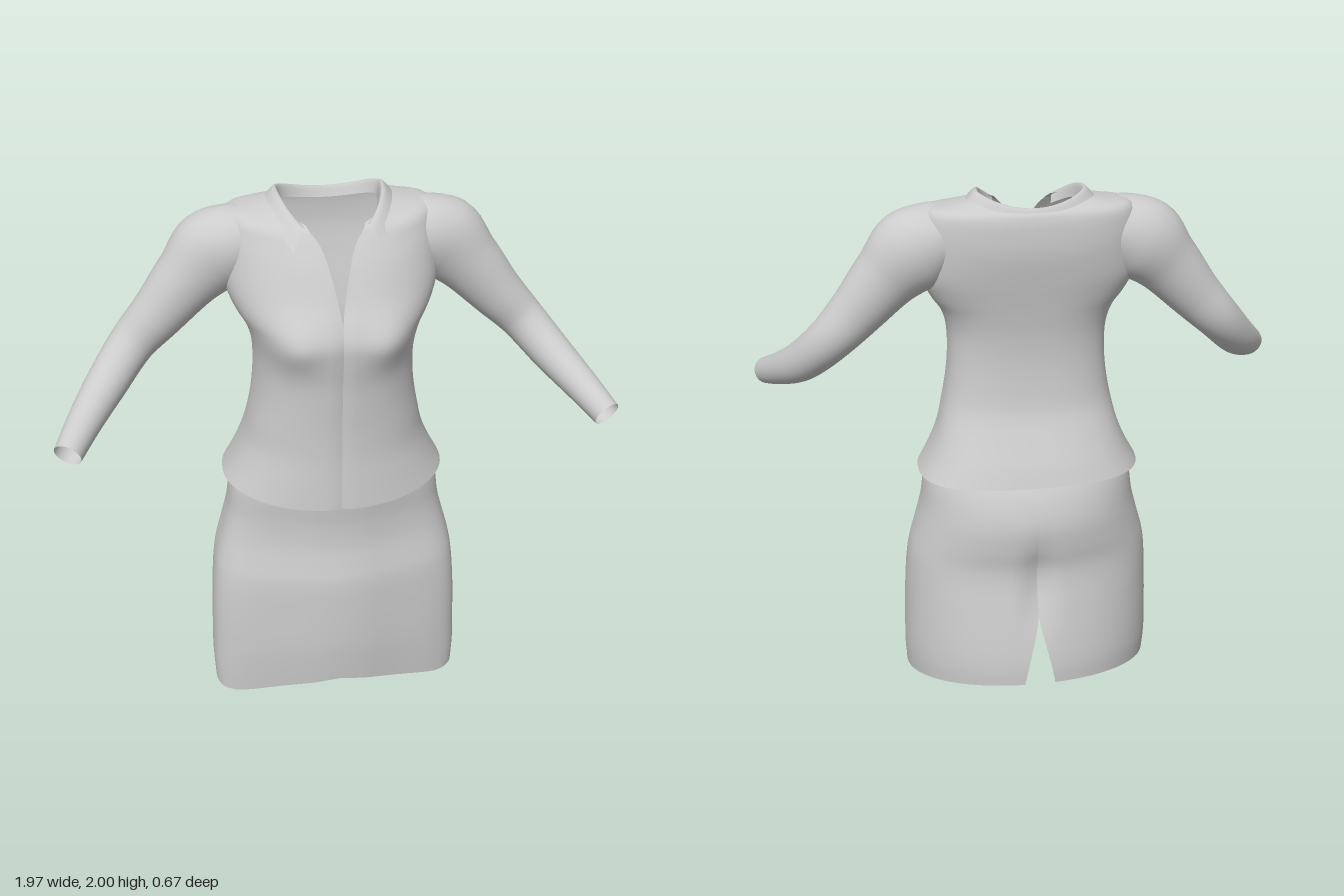
import * as THREE from 'three';

const material = new THREE.MeshStandardMaterial({ color: 0xcccccc, side: THREE.DoubleSide });

// Smooth surface through rows of points; wrap closes each row into a loop
function gridMesh(name, rows, wrap = false, flip = false) {
  const n = rows[0].length, index = [];
  for (let r = 0; r < rows.length - 1; r++) {
    for (let i = 0; i < (wrap ? n : n - 1); i++) {
      const j = (i + 1) % n;
      const a = r * n + i, b = r * n + j, c = a + n, d = b + n;
      if (flip) index.push(a, d, b, a, c, d);
      else index.push(a, b, d, a, d, c);
    }
  }
  const geometry = new THREE.BufferGeometry().setFromPoints(rows.flat());
  geometry.setIndex(index);
  geometry.computeVertexNormals();
  const mesh = new THREE.Mesh(geometry, material);
  mesh.name = name;
  return mesh;
}

// Garment shell from rings [yFront, ySide, yBack, halfWidth, zFront, zBack, zWidest, gap].
// Every ring is split at the front (base 0) or back (base PI), gap being half the opening.
function shell(name, rings, { base = 0, nFront = 2, nBack = 2, columns = 96, steps = 4, shape }) {
  const nSplit = base === 0 ? nFront : nBack;
  const columnPoints = [];
  for (let i = 0; i <= columns; i++) {
    const points = rings.map(([yF, yS, yB, w, zF, zB, zC, gap]) => {
      const start = Math.asin(Math.pow(gap / w, nSplit / 2));
      const a = base + start + (i / columns) * (2 * Math.PI - 2 * start);
      const s = Math.sin(a), c = Math.cos(a);
      const p = 2 / (c > 0 ? nFront : nBack);
      return new THREE.Vector3(
        w * Math.sign(s) * Math.pow(Math.abs(s), p),
        yS + ((c > 0 ? yF : yB) - yS) * c * c,
        zC + (c > 0 ? zF - zC : zB - zC) * Math.pow(Math.abs(c), p)
      );
    });
    const curve = new THREE.CatmullRomCurve3(points);
    columnPoints.push(curve.getPoints((rings.length - 1) * steps));
  }
  const rows = columnPoints[0].map((_, r) => columnPoints.map((col) => col[r]));
  if (shape) rows.flat().forEach(shape);
  return gridMesh(name, rows);
}

// A ring whose height is the same all the way round
const level = (y, ...rest) => [y, y, y, ...rest];
const bell = (v, centre, width) => Math.exp(-(((v - centre) / width) ** 2));

function makeSkirt() {
  return shell('skirt', [
    level(0, 0.48, 0.205, -0.345, 0.06, 0.058),
    level(0.1, 0.484, 0.213, -0.345, 0.05, 0.046),
    level(0.22, 0.481, 0.22, -0.337, 0.04, 0.028),
    level(0.42, 0.473, 0.22, -0.315, 0.03, 0),
    level(0.55, 0.462, 0.215, -0.292, 0.01, 0),
    level(0.62, 0.45, 0.202, -0.288, 0, 0),
    level(0.7, 0.428, 0.188, -0.3, 0, 0),
    level(0.8, 0.402, 0.185, -0.305, 0, 0),
    level(0.9, 0.388, 0.193, -0.28, 0, 0),
    level(0.98, 0.37, 0.193, -0.24, 0, 0),
  ], {
    base: Math.PI, nFront: 3.3, nBack: 2.1,
    shape: (p) => {
      // Hem rises to a peak at the front and slopes up to the back
      const front = p.z > 0.1 ? 0.08 * (1 - Math.abs(p.x) / 0.4) : 0;
      const rise = Math.max(0, front, 0.29 * (0.15 - p.z));
      p.y += rise * Math.max(0, 1 - p.y / 0.42);
      // Puckered seam above the back slit, gently rounded front
      if (p.z < 0) p.z += 0.035 * bell(p.x, 0, 0.045) * bell(p.y, 0.54, 0.15);
      else p.z += 0.05 * bell(p.x, 0, 0.2);
    },
  });
}

function makeBodice() {
  return shell('jacketBody', [
    [0.9, 0.94, 0.95, 0.41, 0.28, -0.27, 0, 0],
    [1.0, 1.01, 1.02, 0.372, 0.275, -0.245, 0, 0],
    level(1.1, 0.335, 0.27, -0.21, 0, 0),
    level(1.2, 0.31, 0.27, -0.17, 0.02, 0),
    level(1.3, 0.292, 0.275, -0.155, 0.02, 0),
    level(1.4, 0.284, 0.282, -0.15, 0.02, 0),
    level(1.49, 0.288, 0.293, -0.155, 0.02, 0),
    level(1.56, 0.308, 0.297, -0.165, 0.01, 0),
    level(1.62, 0.345, 0.28, -0.175, -0.01, 0),
    level(1.7, 0.375, 0.24, -0.19, -0.04, 0.012),
    level(1.8, 0.375, 0.193, -0.205, -0.05, 0.035),
    [1.86, 1.88, 1.87, 0.37, 0.158, -0.205, -0.06, 0.055],
    [1.89, 1.94, 1.915, 0.35, 0.138, -0.2, -0.065, 0.075],
    [1.905, 1.958, 1.94, 0.27, 0.13, -0.19, -0.075, 0.09],
    [1.91, 1.972, 1.945, 0.195, 0.12, -0.175, -0.08, 0.1],
  ], {
    nFront: 2.2, nBack: 2.6,
    shape: (p) => {
      if (p.z < 0) return;
      // Rounded bust, and a groove along the front closure
      p.z += 0.032 * bell(Math.abs(p.x), 0.17, 0.09) * bell(p.y, 1.55, 0.085);
      p.z -= 0.008 * bell(p.x, 0, 0.012);
    },
  });
}

// Folded collar: outer edge, crest, inner edge
function makeCollar() {
  return shell('collar', [
    [1.77, 1.963, 1.92, 0.222, 0.25, -0.197, -0.08, 0.15],
    [1.88, 2.0, 1.957, 0.182, 0.165, -0.177, -0.08, 0.11],
    [1.86, 1.95, 1.92, 0.167, 0.13, -0.16, -0.08, 0.1],
  ], { steps: 5 });
}

// Sleeve: oval sections [x, y, z, radius in the plane of the arm, radius in depth]
function makeSleeve(side) {
  const sections = [
    [0.27, 1.832, -0.045, 0.118, 0.115],
    [0.33, 1.823, -0.046, 0.132, 0.124],
    [0.4, 1.79, -0.052, 0.148, 0.122],
    [0.49, 1.705, -0.046, 0.119, 0.103],
    [0.6, 1.58, -0.04, 0.096, 0.089],
    [0.7, 1.475, -0.028, 0.081, 0.08],
    [0.8, 1.365, 0.06, 0.073, 0.074],
    [0.88, 1.29, 0.18, 0.061, 0.062],
    [0.942, 1.232, 0.302, 0.05, 0.05],
  ];
  const path = new THREE.CatmullRomCurve3(sections.map(([x, y, z]) => new THREE.Vector3(x, y, z)));
  const radii = new THREE.CatmullRomCurve3(sections.map((s) => new THREE.Vector3(s[3], s[4], 0)));
  const rows = [], count = 40, sides = 32;
  for (let r = 0; r <= count; r++) {
    const centre = path.getPoint(r / count), radius = radii.getPoint(r / count);
    const t = path.getTangent(r / count);
    const u = new THREE.Vector3(0, 0, 1).addScaledVector(t, -t.z).normalize();
    const v = new THREE.Vector3().crossVectors(u, t);
    const row = [];
    for (let i = 0; i < sides; i++) {
      const a = (i / sides) * Math.PI * 2;
      const p = centre.clone()
        .addScaledVector(v, radius.x * Math.cos(a))
        .addScaledVector(u, radius.y * Math.sin(a));
      p.x *= side;
      row.push(p);
    }
    rows.push(row);
  }
  return gridMesh(side > 0 ? 'leftSleeve' : 'rightSleeve', rows, true, side < 0);
}

export function createModel() {
  const group = new THREE.Group();
  group.name = 'jacketAndSkirt';
  group.add(makeSkirt(), makeBodice(), makeCollar(), makeSleeve(1), makeSleeve(-1));
  return group;
}
